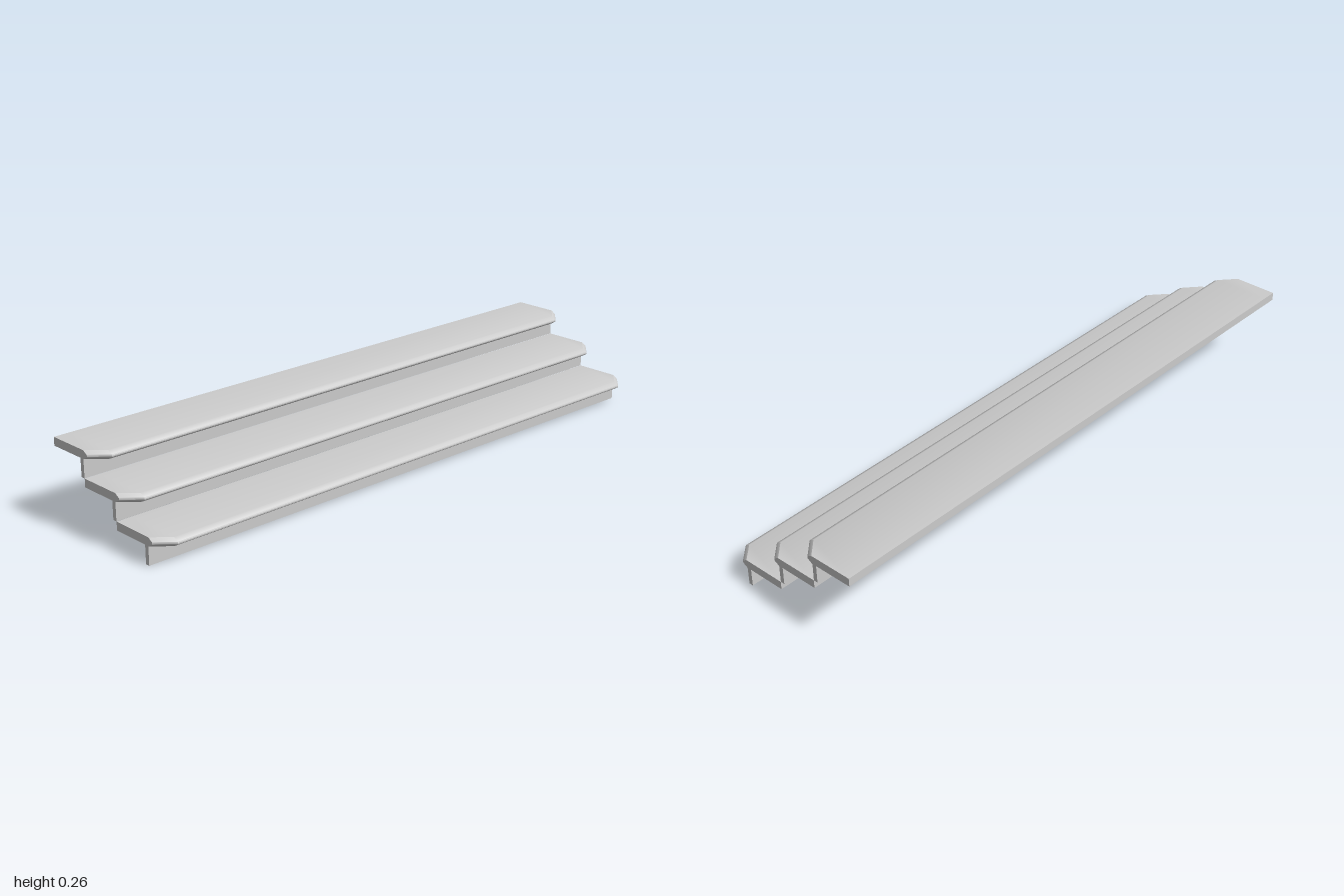
import * as THREE from 'three';
import { toCreasedNormals } from 'three/addons/utils/BufferGeometryUtils.js';

const DEPTH = 0.21, THICK = 0.027, NOSE = 0.017, CLIP = 0.047;
const STATIONS = [-1, -0.948, 0.948, 1];

// Tread: side section run along x, with its nose pulled back at both ends
function treadGeometry() {
  const h = THICK / 2;
  const section = new THREE.Shape([
    [0, h], [0.015, 0.0045], [NOSE, 0.0015], [NOSE, -0.0015], [0.015, -0.0045], [0, -h],
    [NOSE - DEPTH, -h], [NOSE - DEPTH, h],
  ].map(([z, y]) => new THREE.Vector2(-z, y)));
  const geometry = new THREE.ExtrudeGeometry(section, { depth: 3, steps: 3, bevelEnabled: false });
  geometry.rotateY(Math.PI / 2);
  const p = geometry.attributes.position;
  for (let i = 0; i < p.count; i++) {
    const station = Math.round(p.getX(i));
    const atEnd = station === 0 || station === 3;
    const z = p.getZ(i);
    p.setX(i, STATIONS[station]);
    if (atEnd && z > -0.001) p.setZ(i, z - CLIP);
  }
  return toCreasedNormals(geometry, 0.6);
}

export function createModel() {
  const group = new THREE.Group();
  group.name = 'steps';
  const material = new THREE.MeshStandardMaterial({ color: 0xcccccc });
  const tread = treadGeometry();
  const riser = new THREE.BoxGeometry(2, 0.0585, 0.0145);

  // Three treads, each carried by a riser set back under its nose
  for (let i = 0; i < 3; i++) {
    const base = i * 0.0858, front = 0.25 - i * 0.145;
    const step = new THREE.Group();
    step.name = `step${i + 1}`;

    const riserMesh = new THREE.Mesh(riser, material);
    riserMesh.name = 'riser';
    riserMesh.position.set(0, base + 0.02925, front - 0.0728);

    const treadMesh = new THREE.Mesh(tread, material);
    treadMesh.name = 'tread';
    treadMesh.position.set(0, base + 0.0585 + THICK / 2, front - NOSE);

    step.add(riserMesh, treadMesh);
    group.add(step);
  }
  return group;
}
